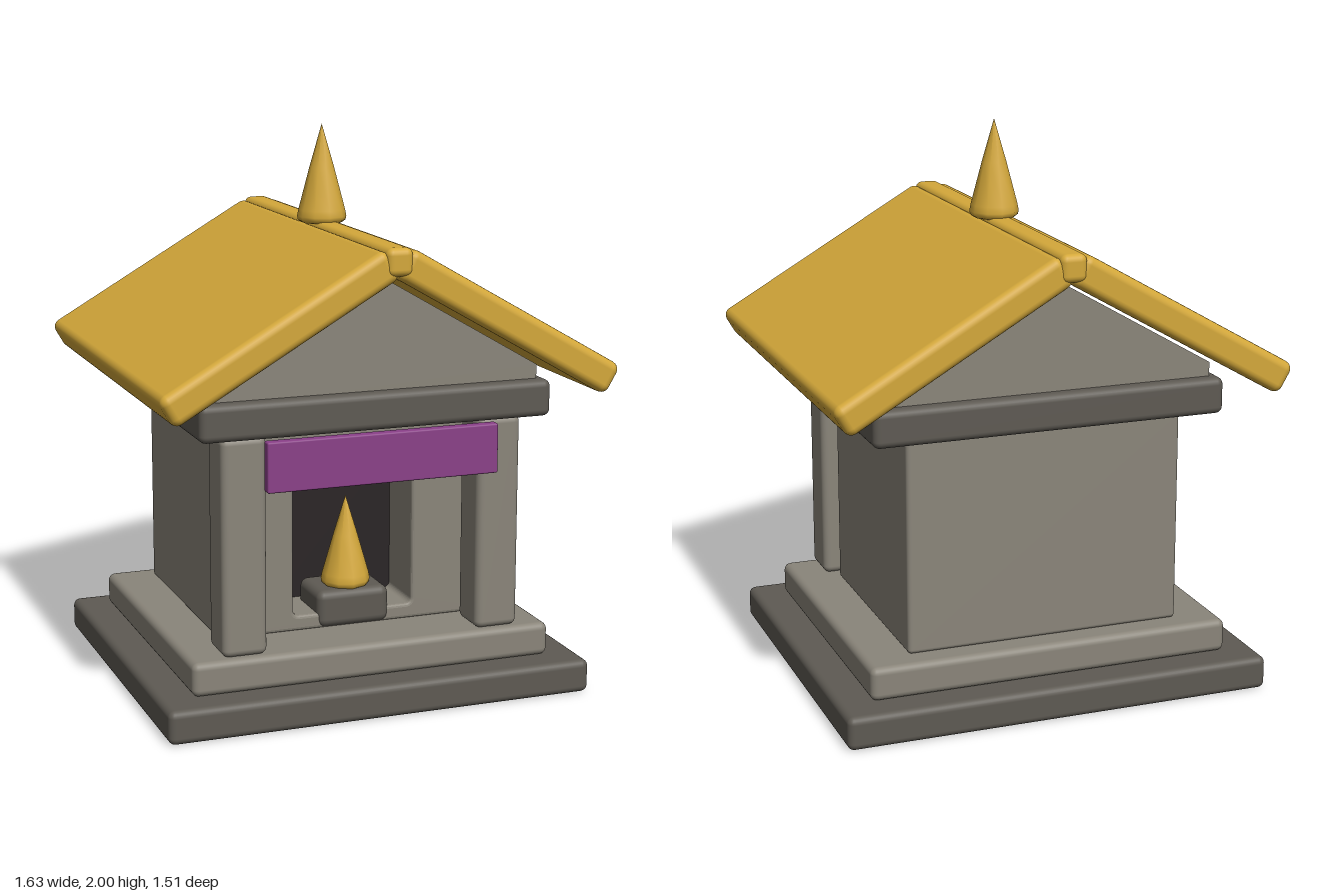
import * as THREE from 'three';
import { RoundedBoxGeometry } from 'three/addons/geometries/RoundedBoxGeometry.js';

const mat = (color, side = THREE.FrontSide) => new THREE.MeshStandardMaterial({ color, side });

export function createModel() {
  const model = new THREE.Group();
  model.name = 'shrine';
  const stone = mat(0x8a857a), darkStone = mat(0x5e5a53);
  const gold = mat(0xd4a83a), purple = mat(0x8a4088), shadow = mat(0x2a2426);

  const add = (name, geometry, material) => {
    const mesh = new THREE.Mesh(geometry, material);
    mesh.name = name;
    model.add(mesh);
    return mesh;
  };

  // Rounded block given by its limits on each axis
  const block = (name, [x0, x1], [y0, y1], [z0, z1], r, material) => {
    const mesh = add(name, new RoundedBoxGeometry(x1 - x0, y1 - y0, z1 - z0, 3, r), material);
    mesh.position.set((x0 + x1) / 2, (y0 + y1) / 2, (z0 + z1) / 2);
    return mesh;
  };

  // Rectangle outline with rounded corners
  const roundRect = (path, x0, x1, y0, y1, r) => {
    path.absarc(x1 - r, y0 + r, r, -Math.PI / 2, 0);
    path.absarc(x1 - r, y1 - r, r, 0, Math.PI / 2);
    path.absarc(x0 + r, y1 - r, r, Math.PI / 2, Math.PI);
    path.absarc(x0 + r, y0 + r, r, Math.PI, Math.PI * 1.5);
    path.closePath();
    return path;
  };

  // Stepped base
  block('lowerStep', [-0.78, 0.78], [0, 0.12], [-0.7, 0.655], 0.025, darkStone);
  block('upperStep', [-0.665, 0.665], [0.12, 0.24], [-0.595, 0.55], 0.025, stone);

  // Chamber: solid rear with a framed niche in front
  block('chamberRear', [-0.505, 0.505], [0.24, 1.01], [-0.51, 0.1], 0.015, stone);
  const frame = roundRect(new THREE.Shape(), -0.505, 0.505, 0.24, 1.01, 0.015);
  frame.holes.push(roundRect(new THREE.Path(), -0.225, 0.225, 0.295, 0.815, 0.02));
  const bevel = 0.012;
  add('nicheFrame', new THREE.ExtrudeGeometry(frame, {
    depth: 0.425 - 2 * bevel, curveSegments: 4, bevelEnabled: true,
    bevelSize: bevel, bevelThickness: bevel, bevelOffset: -bevel, bevelSegments: 3,
  }), stone).position.z = -0.1 + bevel;
  block('nicheBack', [-0.235, 0.235], [0.285, 0.825], [0.06, 0.11], 0.01, shadow);

  // Front pillars
  for (const s of [-1, 1]) {
    const pillar = block(s > 0 ? 'leftPillar' : 'rightPillar', [0.39, 0.55], [0.24, 1.01], [0.365, 0.53], 0.025, stone);
    pillar.position.x *= s;
  }

  // Beam, hanging cloth and gable
  block('beam', [-0.64, 0.64], [1.01, 1.14], [-0.585, 0.585], 0.025, darkStone);
  block('banner', [-0.42, 0.42], [0.835, 1.01], [0.585, 0.625], 0.006, purple);
  const gable = new THREE.Shape([[-0.6, 1.12], [0.6, 1.12], [0.6, 1.19], [0, 1.54], [-0.6, 1.19]]
    .map(([x, y]) => new THREE.Vector2(x, y)));
  add('gable', new THREE.ExtrudeGeometry(gable, { depth: 1.08, bevelEnabled: false }), stone).position.z = -0.54;

  // Sloping roof slabs and ridge
  for (const s of [-1, 1]) {
    const slab = add(s > 0 ? 'leftRoof' : 'rightRoof', new RoundedBoxGeometry(0.9, 0.115, 1.5, 3, 0.03), gold);
    slab.position.set(s * 0.409, 1.38, 0);
    slab.rotation.z = -s * Math.PI / 6;
  }
  block('ridge', [-0.047, 0.047], [1.56, 1.657], [-0.757, 0.757], 0.025, gold);

  // Tapered spike with a rounded foot
  const spike = (name, y, z, height, r) => {
    const profile = [[0, 0], [r * 0.85, 0], [r * 0.97, 0.008], [r, 0.022], [r * 0.95, 0.045], [r * 0.5, height * 0.56], [0, height]];
    const mesh = add(name, new THREE.LatheGeometry(profile.map(([x, h]) => new THREE.Vector2(x, h)), 10), gold);
    mesh.position.set(0, y, z);
  };
  spike('finial', 1.65, 0, 0.35, 0.088);

  // Altar with its flame
  block('altar', [-0.135, 0.135], [0.24, 0.375], [0.12, 0.337], 0.03, darkStone);
  spike('flame', 0.37, 0.245, 0.33, 0.088);

  return model;
}
